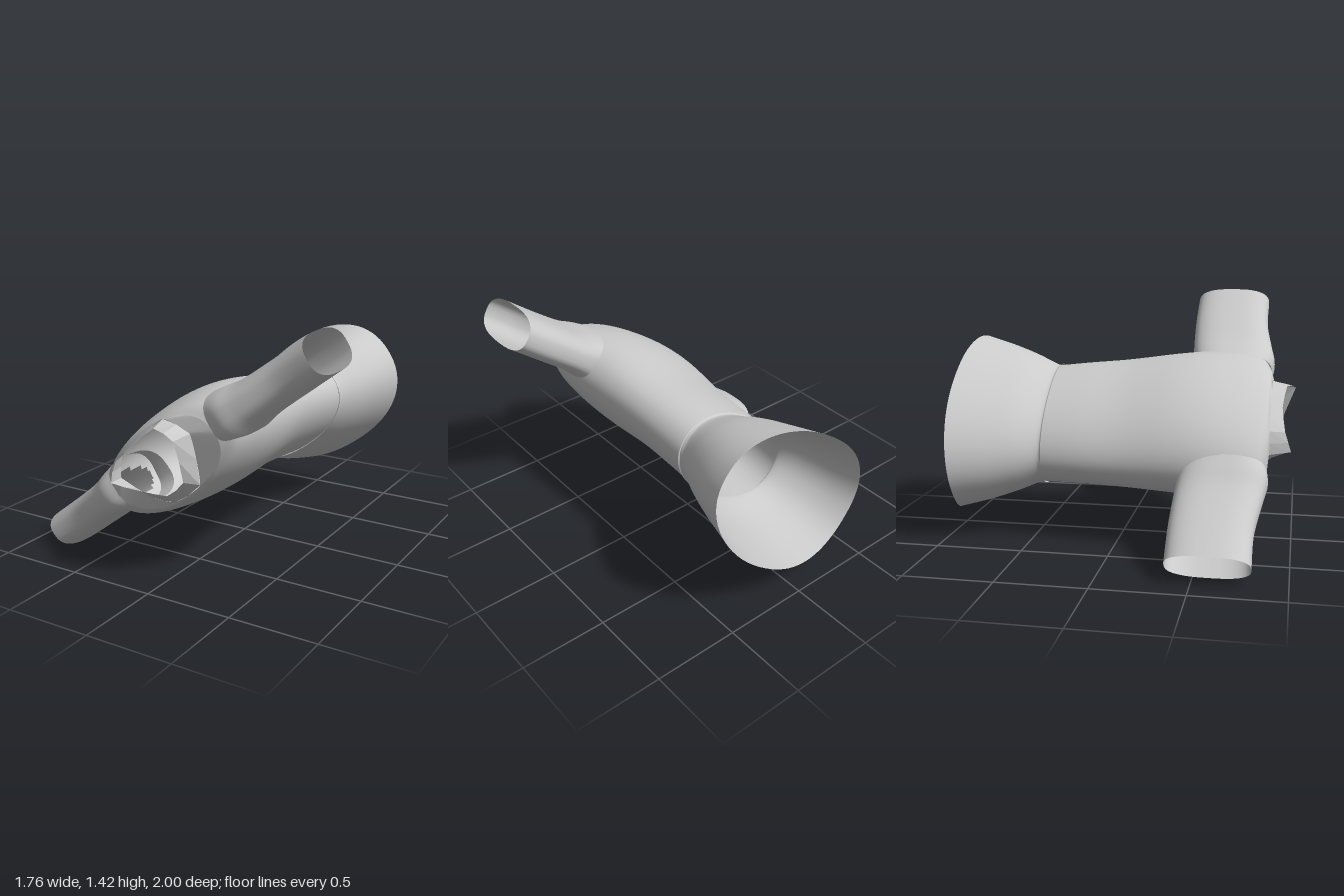
import * as THREE from 'three';

const material = new THREE.MeshStandardMaterial({ color: 0xcccccc, side: THREE.DoubleSide });

// Signed power, for superellipse outlines
const spow = (x, p) => Math.sign(x) * Math.pow(Math.abs(x), p);

// Smoothly resample rows of key numbers
function resample(keys, steps) {
  const n = keys.length - 1;
  const rows = [];
  for (let i = 0; i <= steps; i++) {
    const t = (i / steps) * n;
    const k = Math.min(Math.floor(t), n - 1);
    const f = t - k;
    const [p0, p1, p2, p3] = [k - 1, k, k + 1, k + 2].map((j) => keys[Math.max(0, Math.min(n, j))]);
    rows.push(p1.map((b, c) => {
      const a = p0[c], d = p2[c], e = p3[c];
      return b + 0.5 * f * (d - a + f * (2 * a - 5 * b + 4 * d - e + f * (3 * (b - d) + e - a)));
    }));
  }
  return rows;
}

// Skin closed rings of points; drop(centre) leaves out unwanted quads
function loft(name, rings, { drop = () => false, mat = material } = {}) {
  const m = rings[0].length;
  const pts = rings.flat();
  const index = [];
  for (let i = 0; i < rings.length - 1; i++) {
    for (let j = 0; j < m; j++) {
      const a = i * m + j, b = i * m + (j + 1) % m;
      const c = a + m, d = b + m;
      const mid = new THREE.Vector3();
      [a, b, c, d].forEach((q) => mid.addScaledVector(pts[q], 0.25));
      if (!drop(mid)) index.push(a, b, d, a, d, c);
    }
  }
  const geometry = new THREE.BufferGeometry().setFromPoints(pts);
  geometry.setIndex(index);
  geometry.computeVertexNormals();
  const mesh = new THREE.Mesh(geometry, mat);
  mesh.name = name;
  return mesh;
}

// Ring across the body axis: half width a, half depth b, depth offset cv, squareness n
function bodyRing(z, a, b, cv, n, zOffset) {
  return Array.from({ length: 72 }, (_, j) => {
    const t = (j / 72) * Math.PI * 2;
    const c = Math.cos(t), s = Math.sin(t);
    return new THREE.Vector3(a * spow(c, 2 / n), cv + b * spow(s, 2 / n), z + zOffset(s));
  });
}

// Closed ring through a few corner points, kept nearly angular
function cornerRing(corners, segments) {
  const curve = new THREE.CatmullRomCurve3(
    corners.map((p) => new THREE.Vector3(...p)), true, 'catmullrom', 0.2);
  return Array.from({ length: segments }, (_, j) => curve.getPoint(j / segments));
}

export function createModel() {
  const model = new THREE.Group();
  model.name = 'garment';

  // The garment lies tilted about its long axis
  const shell = new THREE.Group();
  shell.name = 'shell';
  shell.position.set(0, 0.7, 0);
  shell.rotation.z = THREE.MathUtils.degToRad(37.3);
  model.add(shell);

  // Uneven neckline where the collar is sewn on, and the collar's free edge
  const neckline = [
    [0.268, 0.022, 0.875], [0.163, 0.165, 0.868], [-0.02, 0.16, 0.865], [-0.2, 0.135, 0.866],
    [-0.29, 0.04, 0.865], [-0.2, -0.14, 0.83], [-0.104, -0.225, 0.805], [0.102, -0.22, 0.81],
  ];
  const collarEdge = [
    [0.25, 0.024, 1.0], [0.145, 0.141, 0.95], [-0.02, 0.14, 0.93], [-0.187, 0.117, 0.95],
    [-0.26, 0.035, 0.985], [-0.165, -0.08, 0.93], [-0.06, -0.178, 0.89], [0.087, -0.167, 0.9],
  ];

  // Torso from waist to neck, thinning over the shoulders, open where the sleeves join
  const torsoKeys = [
    [-0.45, 0.412, 0.242, -0.074, 0],
    [-0.25, 0.43, 0.243, -0.058, 0],
    [0, 0.452, 0.246, -0.043, 0],
    [0.3, 0.482, 0.274, -0.025, 0],
    [0.5, 0.505, 0.275, -0.02, 0],
    [0.68, 0.51, 0.255, -0.022, 0.01],
    [0.8, 0.475, 0.23, -0.027, 0.04],
    [0.855, 0.38, 0.212, -0.03, 0.06],
  ];
  const inSleeve = (p) => Math.abs(p.x) > 0.4
    && ((p.z - 0.6) / 0.2) ** 2 + (p.y / 0.09) ** 2 < 1;
  const torsoRings = resample(torsoKeys, 84).map(([z, a, b, cv, cut]) =>
    bodyRing(z, a, b, cv, 2.1, (s) => cut * Math.min(0, s)));
  torsoRings.push(cornerRing(neckline, 72));
  shell.add(loft('torso', torsoRings, { drop: inSleeve }));

  // Flared skirt with a wavy hem
  const skirtKeys = [
    [-0.43, 0.417, 0.248, -0.072, 0],
    [-0.46, 0.41, 0.246, -0.072, 0],
    [-0.6, 0.475, 0.3, -0.07, 0.1],
    [-0.75, 0.537, 0.343, -0.07, 0.4],
    [-0.925, 0.593, 0.392, -0.069, 1],
  ];
  shell.add(loft('skirt', resample(skirtKeys, 32).map(([z, a, b, cv, wave]) =>
    bodyRing(z, a, b, cv, 2.2, (s) => -wave * s * s * (s < 0 ? 0.075 : 0.045)))
    .reverse()));

  // Sleeves: flattened tubes that widen into the shoulders, cuffs cut at a slight slant
  const sleeveKeys = [
    [0.38, 0.155, 0.24, 0.615],
    [0.46, 0.14, 0.248, 0.62],
    [0.58, 0.119, 0.242, 0.605],
    [0.8, 0.114, 0.228, 0.583],
    [1.022, 0.113, 0.226, 0.584],
  ];
  for (const side of [1, -1]) {
    const rings = resample(sleeveKeys, 24).map(([u, hv, hz, cz]) =>
      Array.from({ length: 40 }, (_, j) => {
        const t = side * (j / 40) * Math.PI * 2;
        const v = hv * spow(Math.cos(t), 0.75);
        return new THREE.Vector3(side * (u + 0.08 * v), v, cz + hz * spow(Math.sin(t), 0.75));
      }));
    shell.add(loft(side > 0 ? 'leftSleeve' : 'rightSleeve', rings));
  }

  // Faceted collar, raised at both ends and dipping between them
  const collarMaterial = material.clone();
  collarMaterial.flatShading = true;
  shell.add(loft('collar', [neckline, collarEdge].map((ring) => cornerRing(ring, 16)),
    { mat: collarMaterial }));

  return model;
}
